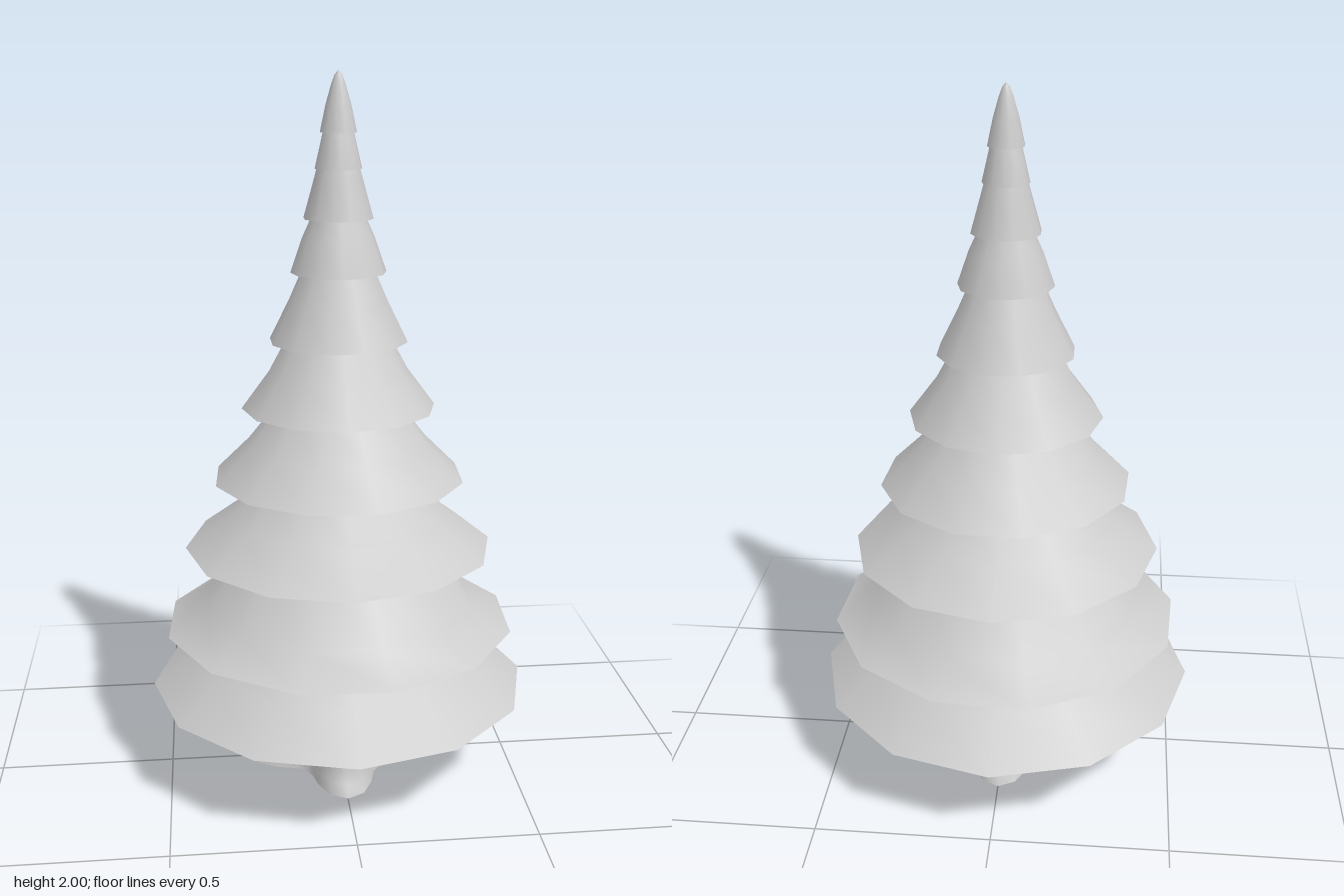
import * as THREE from 'three';
import { toCreasedNormals } from 'three/addons/utils/BufferGeometryUtils.js';

const material = new THREE.MeshStandardMaterial({ color: 0xcccccc, side: THREE.DoubleSide });

// One open skirt of foliage, 12 sided; profile is [radius, y] from rim to tip
function makeTier(profile, turn) {
  const points = profile.map(([r, y]) => new THREE.Vector2(r, y));
  const mesh = new THREE.Mesh(new THREE.LatheGeometry(points, 12), material);
  mesh.rotation.y = THREE.MathUtils.degToRad(turn);
  return mesh;
}

// Tapering trunk with four root ridges; rows are [y, ridge radius, valley radius]
function makeTrunk() {
  const rows = [
    [0, 0, 0], [0, 0.27, 0.15], [0.03, 0.252, 0.145], [0.07, 0.23, 0.14],
    [0.13, 0.235, 0.14], [0.18, 0.238, 0.14], [0.255, 0.205, 0.138],
    [0.55, 0.14, 0.115], [0.75, 0.07, 0.06], [0.9, 0, 0],
  ];
  const segments = 32;
  const geometry = new THREE.LatheGeometry(rows.map(([y, r]) => new THREE.Vector2(r, y)), segments);
  const position = geometry.attributes.position;
  for (let i = 0; i <= segments; i++) {
    const angle = (i / segments) * Math.PI * 2;
    const ridge = Math.pow(0.5 + 0.5 * Math.cos(4 * angle), 1.2);
    rows.forEach(([y, outer, inner], j) => {
      const r = inner + (outer - inner) * ridge;
      position.setXYZ(i * rows.length + j, Math.sin(angle) * r, y, Math.cos(angle) * r);
    });
  }
  return new THREE.Mesh(toCreasedNormals(geometry, Math.PI / 3), material);
}

export function createModel() {
  const tree = new THREE.Group();
  tree.name = 'firTree';

  const trunk = makeTrunk();
  trunk.name = 'trunk';
  tree.add(trunk);

  // Foliage tiers from the ground up, every second one turned
  const tiers = [
    [[0.545, 0.255], [0.415, 0.355], [0.31, 0.445], [0, 0.74]],
    [[0.505, 0.445], [0.39, 0.515], [0.278, 0.675], [0, 1.0]],
    [[0.44, 0.678], [0.31, 0.775], [0.203, 0.885], [0, 1.09]],
    [[0.357, 0.885], [0.262, 0.98], [0.175, 1.09], [0, 1.3]],
    [[0.272, 1.088], [0.193, 1.195], [0.15, 1.275], [0, 1.5]],
    [[0.193, 1.277], [0.137, 1.39], [0.104, 1.465], [0, 1.68]],
    [[0.132, 1.467], [0.1, 1.56], [0.075, 1.615], [0, 1.82]],
    [[0.096, 1.613], [0.066, 1.72], [0.05, 1.78], [0, 1.92]],
    [[0.064, 1.745], [0.042, 1.84], [0, 1.96]],
    [[0.05, 1.84], [0.035, 1.91], [0.019, 1.965], [0.01, 1.988], [0, 2.0]],
  ];
  tiers.forEach((profile, i) => {
    const tier = makeTier(profile, i % 2 ? (i < 5 ? 11.7 : 16) : 0);
    tier.name = `foliageTier${i + 1}`;
    tree.add(tier);
  });

  return tree;
}
